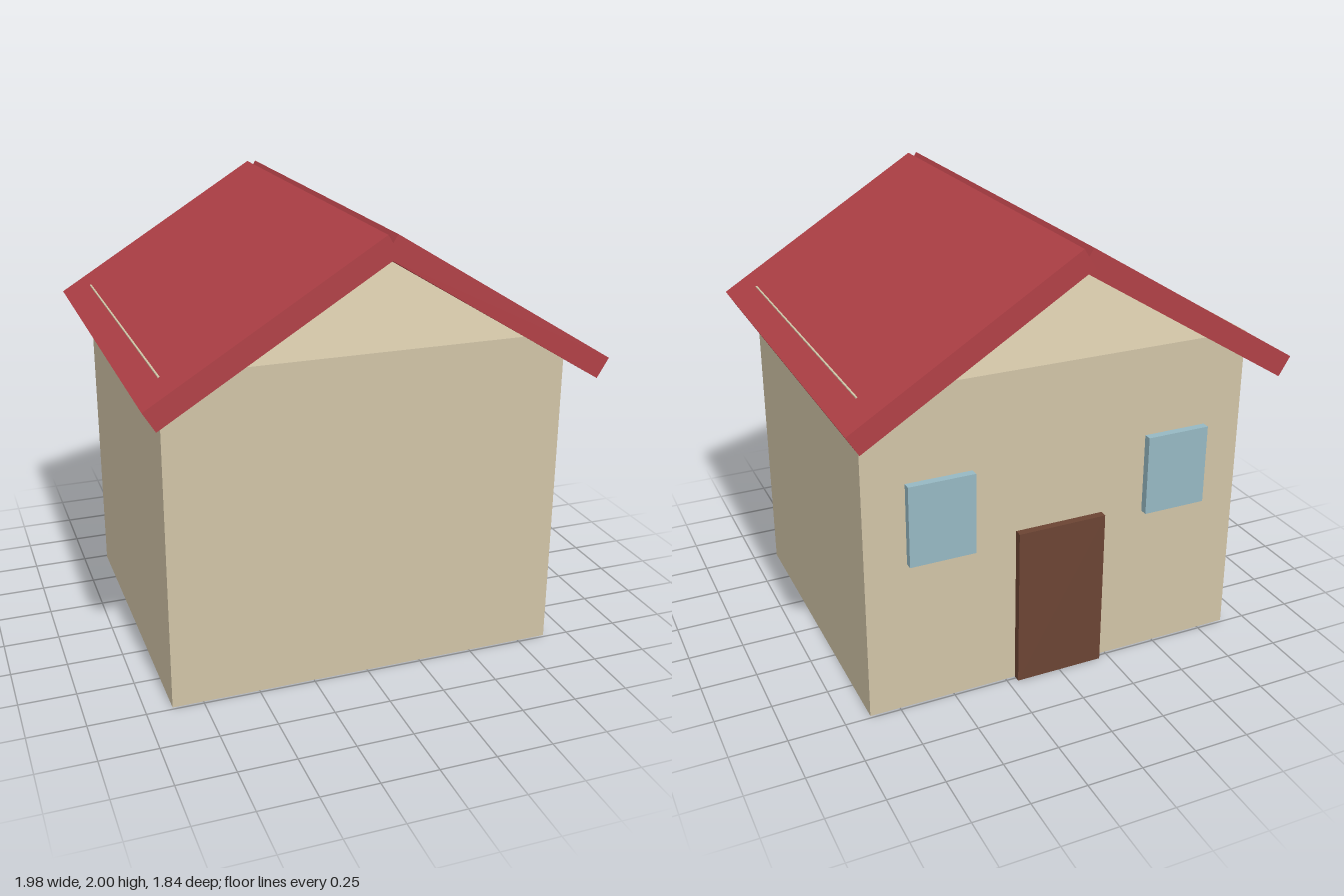
import * as THREE from 'three';

export function createModel() {
  const house = new THREE.Group();
  house.name = 'house';

  const paint = (color) => new THREE.MeshStandardMaterial({ color });
  const wallPaint = paint(0xd0c3a6);
  const roofPaint = paint(0xb04046);
  const doorPaint = paint(0x6b4433);
  const glassPaint = paint(0x96b8c2);

  const box = (name, material, size, position) => {
    const mesh = new THREE.Mesh(new THREE.BoxGeometry(...size), material);
    mesh.name = name;
    mesh.position.set(...position);
    house.add(mesh);
    return mesh;
  };

  // Block of walls with a flat top under the open gables
  box('walls', wallPaint, [1.77, 1.475, 1.474], [0, 0.7375, 0]);

  // Door on the back wall
  box('door', doorPaint, [0.41, 0.74, 0.035], [0, 0.37, -0.7545]);

  // Mirrored roof slabs crossing at the ridge, and windows beside the door
  for (const [side, sign] of [['left', 1], ['right', -1]]) {
    const slab = box(side + 'RoofSlab', roofPaint, [1.138, 0.098, 1.842], [sign * 0.48, 1.661, 0]);
    slab.rotation.z = -sign * 0.55;
    box(side + 'Window', glassPaint, [0.295, 0.367, 0.035], [sign * 0.553, 0.887, -0.7585]);
  }

  return house;
}
